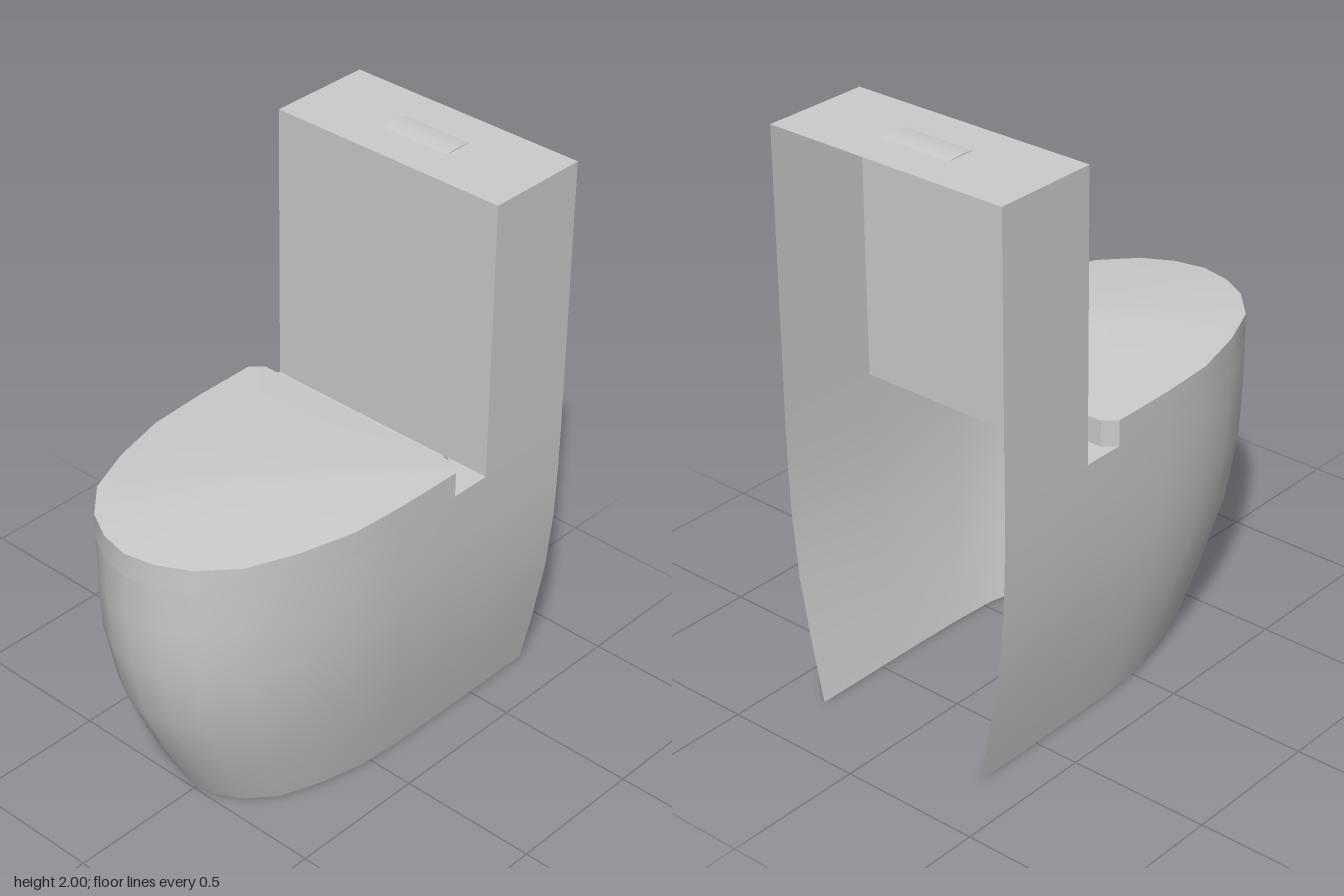
import * as THREE from 'three';
import { toCreasedNormals } from 'three/addons/utils/BufferGeometryUtils.js';

const material = new THREE.MeshStandardMaterial({ color: 0xcccccc, side: THREE.DoubleSide });
const HALF = 0.452, BACK = -0.77, FRONT = 0.768, TANK = -0.39, DECK = 1.01, RIM = 1.1;

// Half of the rounded plan outline, from the side to the front tip: [x, z]
const nose = [[HALF, -0.24], [0.449, 0], [0.436, 0.21], [0.385, 0.41],
  [0.315, 0.58], [0.212, 0.69], [0.11, 0.745], [0, FRONT]];

// Whole outline: +x rear, round the front, to -x rear
function outline(rear) {
  const half = [...rear, ...nose];
  return [...half, ...half.slice(0, -1).reverse().map(([x, z]) => [-x, z])];
}

// Skin a list of equally long rings of [x, y, z]
function loft(rings, closed = false) {
  const n = rings[0].length, index = [];
  for (let j = 0; j < rings.length - 1; j++) {
    for (let i = 0; i < (closed ? n : n - 1); i++) {
      const a = j * n + i, b = j * n + (i + 1) % n;
      index.push(a, a + n, b, b, a + n, b + n);
    }
  }
  const geo = new THREE.BufferGeometry();
  geo.setAttribute('position', new THREE.Float32BufferAttribute(rings.flat(2), 3));
  geo.setIndex(index);
  geo.computeVertexNormals();
  return geo;
}

export function createModel() {
  const model = new THREE.Group();
  const add = (name, geo, parent = model) => {
    const mesh = new THREE.Mesh(geo, material);
    mesh.name = name;
    parent.add(mesh);
    return mesh;
  };

  // Skirted pedestal, open at back and bottom: [height, half width, front z]
  const plan = outline([[HALF, BACK], [HALF, TANK]]);
  const levels = [[0, 0.335, 0.49], [0.2, 0.378, 0.6], [0.44, 0.422, 0.708],
    [0.67, 0.444, 0.757], [0.85, 0.45, 0.766], [DECK, HALF, FRONT]];
  add('pedestalSkirt', loft(levels.map(([y, w, f]) => plan.map(([x, z]) =>
    [x * w / HALF, y, BACK + (z - BACK) * (f - BACK) / (FRONT - BACK)]))));

  // Deck with the bowl opening
  const deckShape = new THREE.Shape(outline([[HALF, TANK]]).map(([x, z]) => new THREE.Vector2(x, -z)));
  const opening = new THREE.Path();
  opening.absellipse(0, -0.24, 0.32, 0.4, 0, Math.PI * 2, true);
  deckShape.holes.push(opening);
  const deck = add('deck', new THREE.ShapeGeometry(deckShape, 16).rotateX(-Math.PI / 2));
  deck.position.y = DECK;

  // Inner bowl
  const bowlProfile = [[0, 0.42], [0.14, 0.42], [0.2, 0.58], [0.27, 0.8], [0.32, DECK]]
    .map(([r, y]) => new THREE.Vector2(r, y));
  const bowl = add('bowl', new THREE.LatheGeometry(bowlProfile, 32));
  bowl.scale.z = 1.25;
  bowl.position.z = 0.24;

  // Lid: upright edge with cut rear corners, and a shallow dome
  const lid = new THREE.Group();
  lid.name = 'lid';
  model.add(lid);
  const lidPlan = outline([[0, -0.278], [0.41, -0.278]]).slice(0, -1);
  const lidRing = y => lidPlan.map(([x, z]) => [x, y, z]);
  add('lidEdge', toCreasedNormals(loft([lidRing(DECK), lidRing(RIM)], true), 0.6), lid);
  add('lidTop', loft([1, 0.75, 0.5, 0.25, 0].map(t => lidPlan.map(([x, z]) =>
    [x * t, RIM + 0.028 * (1 - t ** 1.4), 0.26 + (z - 0.26) * t])), true), lid);

  // Hinge bar behind the lid
  const hinge = add('hingeBar', new THREE.CylinderGeometry(0.024, 0.024, 0.7, 16).rotateZ(Math.PI / 2));
  hinge.position.set(0, 1.06, -0.3);

  // Cistern of flat panels, open at back and bottom
  const cistern = new THREE.Group();
  cistern.name = 'cistern';
  model.add(cistern);
  const TOP = 1.996, depth = TANK - BACK, height = TOP - DECK;
  const midY = (TOP + DECK) / 2, midZ = (TANK + BACK) / 2;
  add('cisternFront', new THREE.PlaneGeometry(HALF * 2, height), cistern).position.set(0, midY, TANK);
  add('cisternTop', new THREE.PlaneGeometry(HALF * 2, depth).rotateX(-Math.PI / 2), cistern)
    .position.set(0, TOP, midZ);
  for (const s of [1, -1]) {
    add(s > 0 ? 'cisternLeftSide' : 'cisternRightSide',
      new THREE.PlaneGeometry(depth, height).rotateY(s * Math.PI / 2), cistern)
      .position.set(s * HALF, midY, midZ);
  }

  // Flush button: a slightly arched plate
  const arch = new THREE.Shape();
  arch.moveTo(-0.052, 0);
  arch.quadraticCurveTo(0, 0.008, 0.052, 0);
  const button = new THREE.ExtrudeGeometry(arch, { depth: 0.264, bevelEnabled: false, curveSegments: 10 });
  button.translate(0, 0, -0.132).rotateY(Math.PI / 2);
  add('flushButton', toCreasedNormals(button, 0.6)).position.set(0, TOP, midZ);

  return model;
}
